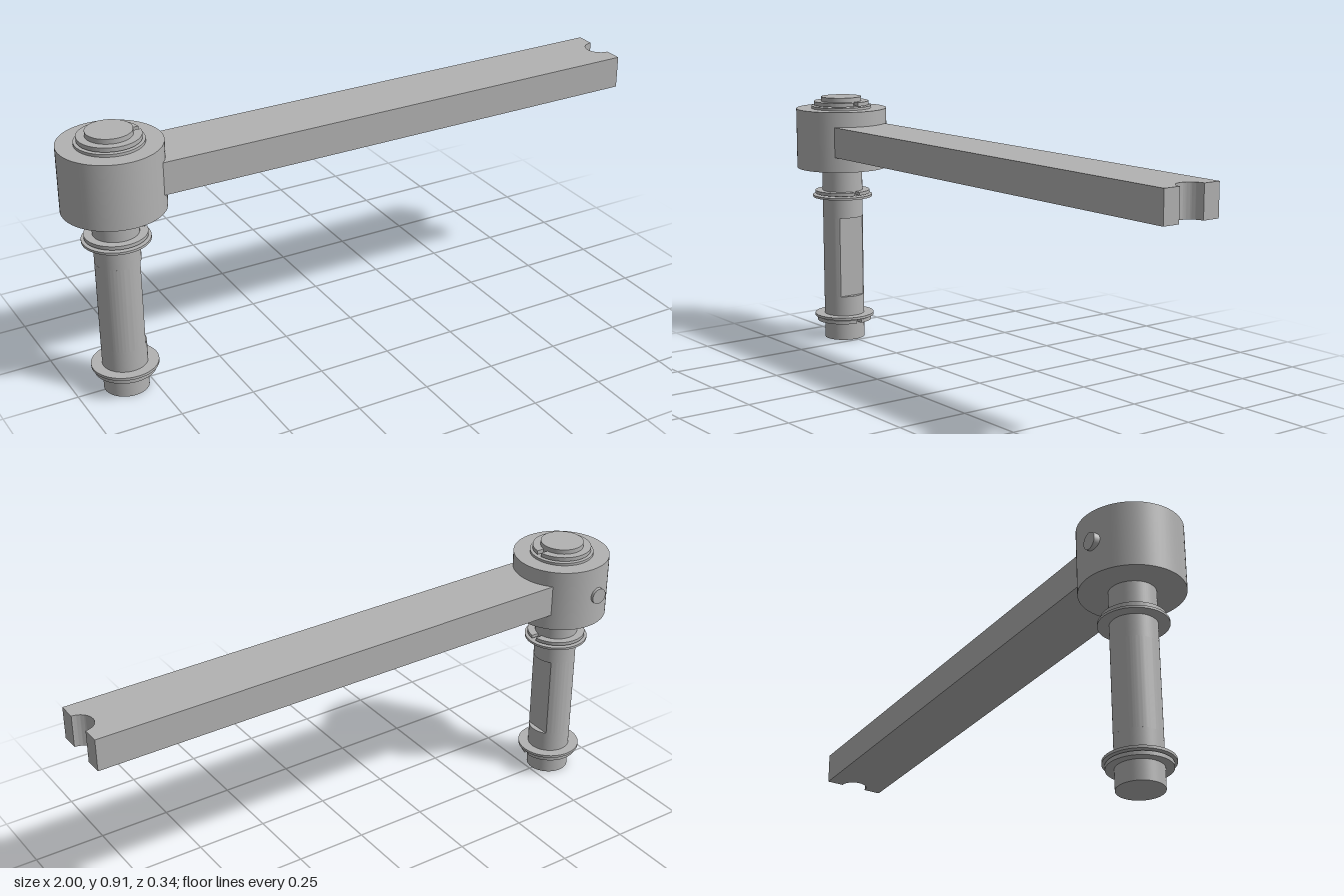
import * as THREE from 'three';
import { toCreasedNormals } from 'three/addons/utils/BufferGeometryUtils.js';

const AXIS_X = -0.835, AXIS_Z = 0.006;
const SHAFT_R = 0.0735;

// Extrude a plan shape (drawn in x, -z) upwards, keeping its sharp edges
function slab(shape, y0, y1) {
  const g = new THREE.ExtrudeGeometry(shape, { depth: y1 - y0, bevelEnabled: false, curveSegments: 48 });
  g.rotateX(-Math.PI / 2).translate(0, y0, 0);
  return toCreasedNormals(g, 0.5);
}

function cylinder(r, y0, y1) {
  return new THREE.CylinderGeometry(r, r, y1 - y0, 64).translate(0, (y0 + y1) / 2, 0);
}

// Flat ring around the shaft
function washerShape(r) {
  const s = new THREE.Shape().absarc(0, 0, r, 0, Math.PI * 2, false);
  s.holes.push(new THREE.Path().absarc(0, 0, SHAFT_R, 0, Math.PI * 2, true));
  return s;
}

// Ring with a narrow gap towards the arm
function clipShape(r, halfGap) {
  const a = Math.asin(halfGap / r), b = Math.asin(halfGap / SHAFT_R);
  const s = new THREE.Shape();
  s.absarc(0, 0, r, a, Math.PI * 2 - a, false);
  s.absarc(0, 0, SHAFT_R, Math.PI * 2 - b, b, true);
  s.closePath();
  return s;
}

export function createModel() {
  const model = new THREE.Group();
  model.name = 'crankArm';
  const steel = new THREE.MeshStandardMaterial({ color: 0xb2b2b2 });
  steel.name = 'grey steel';

  const assembly = new THREE.Group();
  assembly.name = 'crankAssembly';
  assembly.position.set(AXIS_X, 0, AXIS_Z);
  model.add(assembly);
  const add = (name, geometry) => {
    const mesh = new THREE.Mesh(geometry, steel);
    mesh.name = name;
    assembly.add(mesh);
    return mesh;
  };

  // Shaft, with a flat milled on the arm side
  add('shaftLower', cylinder(SHAFT_R, 0, 0.165));
  const flat = Math.asin(0.049 / SHAFT_R);
  const dShape = new THREE.Shape().absarc(0, 0, SHAFT_R, flat, Math.PI * 2 - flat, false);
  dShape.closePath();
  add('shaftFlat', slab(dShape, 0.165, 0.461));
  add('shaftUpper', cylinder(SHAFT_R, 0.461, 0.905));

  // Hub and its locking pin
  add('hub', cylinder(0.165, 0.645, 0.863));
  const pin = add('lockingPin', new THREE.CylinderGeometry(0.028, 0.028, 0.08, 32).rotateX(Math.PI / 2));
  pin.position.set(-0.03, 0.756, -0.135);

  // Bar with a half-round notch in its free end
  const end = 1 - AXIS_X, half = 0.109, notch = 0.048;
  const bar = new THREE.Shape();
  bar.moveTo(0.09, -half);
  bar.lineTo(end, -half);
  bar.lineTo(end, -notch);
  bar.absarc(end, 0, notch, Math.PI * 1.5, Math.PI * 0.5, true);
  bar.lineTo(end, half);
  bar.lineTo(0.09, half);
  bar.closePath();
  add('arm', slab(bar, 0.7, 0.809));

  // Washers, each held by a split retaining clip: [washer y0, y1, clip y0, y1]
  const rings = [
    [0.083, 0.092, 0.066, 0.079],
    [0.534, 0.542, 0.547, 0.559],
    [0.863, 0.872, 0.875, 0.889],
  ];
  for (const [w0, w1, c0, c1] of rings) {
    add('washer', slab(washerShape(0.109), w0, w1));
    add('retainingClip', slab(clipShape(0.1, 0.01), c0, c1));
  }
  return model;
}
